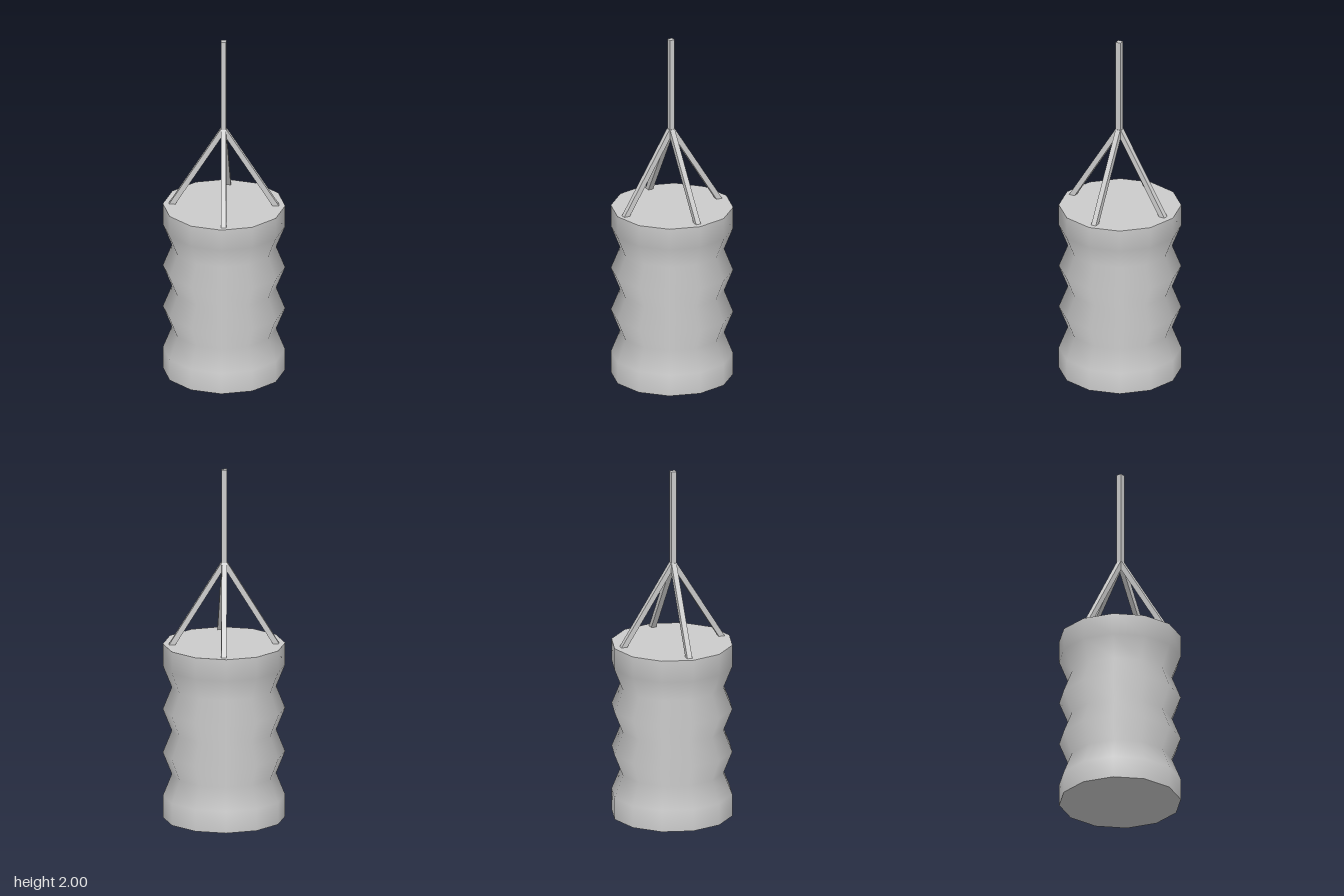
import * as THREE from 'three';

const grey = new THREE.MeshStandardMaterial({ color: 0xcccccc });
const RADIUS = 0.34, WAIST = 0.29, HEIGHT = 1, SIDES = 12;
const KNOT = { x: -0.002, y: 1.465, z: 0.005 };

function addMesh(parent, name, geometry) {
  const mesh = new THREE.Mesh(geometry, grey);
  mesh.name = name;
  parent.add(mesh);
  return mesh;
}

// Square bar sheared so that both ends stay level
function strand(x, z, width, depth) {
  const h = KNOT.y - HEIGHT;
  const g = new THREE.BoxGeometry(width, h, depth);
  const p = g.attributes.position;
  for (let i = 0; i < p.count; i++) {
    const t = p.getY(i) / h + 0.5;
    p.setXYZ(i,
      p.getX(i) + THREE.MathUtils.lerp(x, KNOT.x, t),
      HEIGHT + t * h,
      p.getZ(i) + THREE.MathUtils.lerp(z, KNOT.z, t));
  }
  g.computeVertexNormals();
  return g;
}

export function createModel() {
  const model = new THREE.Group();
  model.name = 'hangingBag';

  // Bag wall: straight ends with three pinched waists between
  const profile = [new THREE.Vector2(RADIUS, 0)];
  for (let i = 1; i <= 7; i++) {
    profile.push(new THREE.Vector2(i % 2 ? RADIUS : WAIST, (i * HEIGHT) / 8));
  }
  profile.push(new THREE.Vector2(RADIUS, HEIGHT));
  addMesh(model, 'bagWall', new THREE.LatheGeometry(profile, SIDES));

  // Flat ends
  const top = addMesh(model, 'bagTop', new THREE.CircleGeometry(RADIUS, SIDES));
  top.rotation.x = -Math.PI / 2;
  top.position.y = HEIGHT;
  const bottom = addMesh(model, 'bagBottom', new THREE.CircleGeometry(RADIUS, SIDES));
  bottom.rotation.x = Math.PI / 2;

  // Four slanted strands from the rim to the knot
  const straps = new THREE.Group();
  straps.name = 'straps';
  model.add(straps);
  addMesh(straps, 'leftStrap', strand(0.288, -0.0075, 0.035, 0.029));
  addMesh(straps, 'rightStrap', strand(-0.288, -0.0075, 0.035, 0.029));
  addMesh(straps, 'frontStrap', strand(0.0115, 0.294, 0.029, 0.035));
  addMesh(straps, 'backStrap', strand(0.0115, -0.283, 0.029, 0.035));

  // Upright hanger above the knot
  const hanger = addMesh(model, 'hanger', new THREE.BoxGeometry(0.03, 2 - 1.45, 0.03));
  hanger.position.set(KNOT.x, (2 + 1.45) / 2, KNOT.z);

  return model;
}
